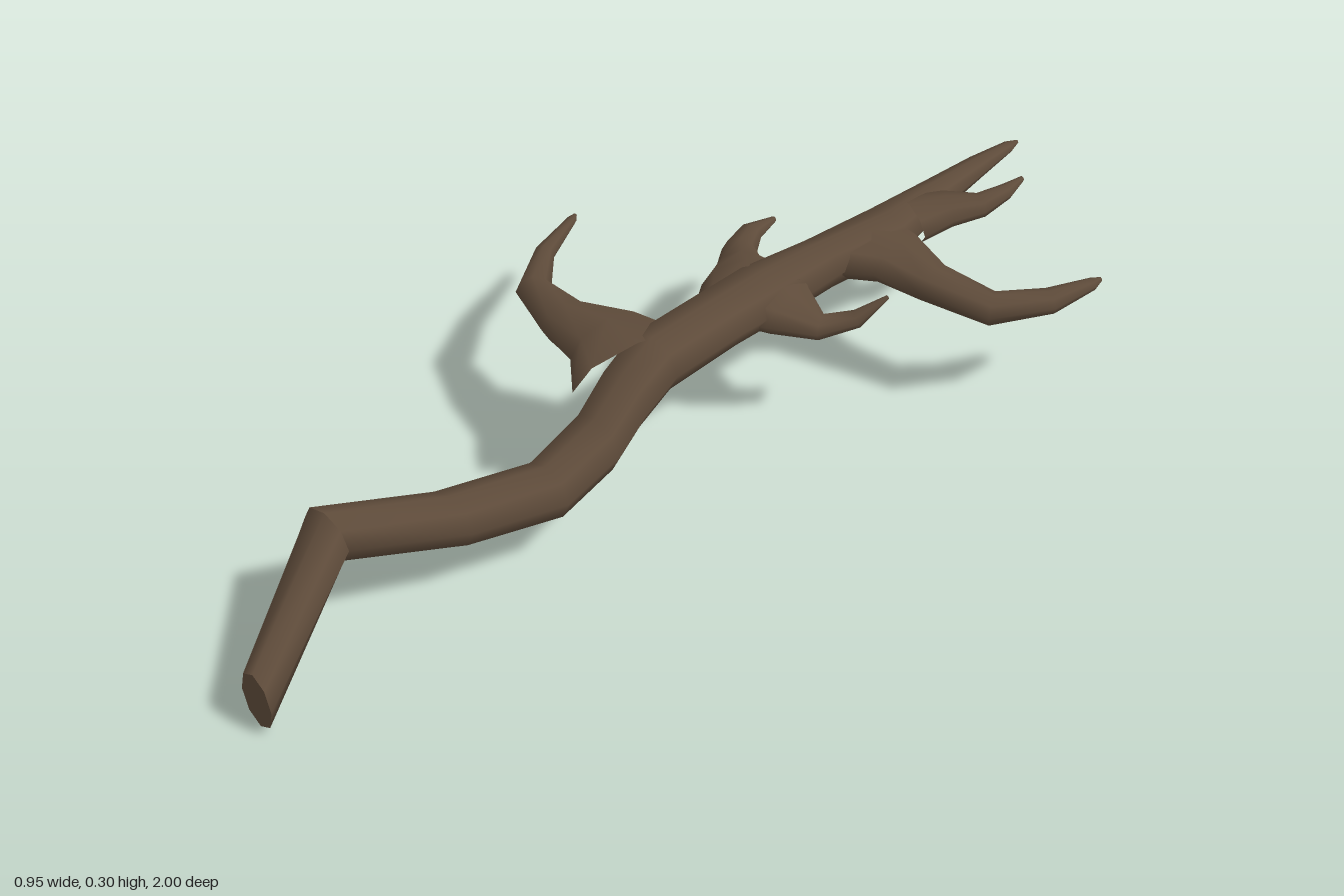
import * as THREE from 'three';

const SIDES = 8;
const bark = new THREE.MeshStandardMaterial({ color: 0x5e4b3a, roughness: 0.9 });

// Lofts elliptical rings along [x, y, z, sideRadius, upRadius] stations.
// With a fixed direction every ring stays perpendicular to it.
function limb(name, stations, { fixed = null, capStart = false, capEnd = true } = {}) {
  const pos = [], index = [];
  const centres = stations.map(s => new THREE.Vector3(s[0], s[1], s[2]));
  const last = stations.length - 1;

  stations.forEach(([, , , rs, ru], i) => {
    const t = fixed ? fixed.clone() : centres[Math.min(i + 1, last)].clone()
      .sub(centres[Math.max(i - 1, 0)]).normalize();
    const side = t.clone().cross(new THREE.Vector3(0, 1, 0)).normalize();
    const up = side.clone().cross(t);
    for (let j = 0; j < SIDES; j++) {
      const a = (j / SIDES) * Math.PI * 2;
      const p = centres[i].clone()
        .addScaledVector(side, Math.cos(a) * rs)
        .addScaledVector(up, Math.sin(a) * ru);
      pos.push(p.x, p.y, p.z);
    }
  });

  for (let i = 0; i < last; i++) {
    for (let j = 0; j < SIDES; j++) {
      const k = (j + 1) % SIDES;
      const a = i * SIDES + j, b = i * SIDES + k;
      index.push(a, a + SIDES, b, b, a + SIDES, b + SIDES);
    }
  }

  // Flat cut end with its own vertices, so its rim stays sharp
  if (capStart) {
    const first = pos.length / 3;
    pos.push(...pos.slice(0, SIDES * 3), ...centres[0].toArray());
    for (let j = 0; j < SIDES; j++) index.push(first + SIDES, first + j, first + (j + 1) % SIDES);
  }
  // Tip shares its ring, so it looks rounded
  if (capEnd) {
    const tip = pos.length / 3;
    pos.push(...centres[last].toArray());
    for (let j = 0; j < SIDES; j++) {
      index.push(tip, last * SIDES + (j + 1) % SIDES, last * SIDES + j);
    }
  }

  const geo = new THREE.BufferGeometry();
  geo.setAttribute('position', new THREE.Float32BufferAttribute(pos, 3));
  geo.setIndex(index);
  geo.computeVertexNormals();
  const mesh = new THREE.Mesh(geo, bark);
  mesh.name = name;
  return mesh;
}

export function createModel() {
  const group = new THREE.Group();
  group.name = 'branch';
  const back = new THREE.Vector3(0, 0, -1);
  const elbow = [-0.02, 0.182, 0.755, 0.06, 0.044];

  // Cut stub, meeting the main stem at a sharp elbow
  group.add(limb('cutStub', [[0.1, 0.056, 0.995, 0.04, 0.056], elbow],
    { fixed: back, capStart: true, capEnd: false }));

  // Main stem, tapering to a point at the back
  group.add(limb('mainStem', [
    elbow,
    [0.058, 0.147, 0.56, 0.058, 0.048],
    [0.107, 0.14, 0.39, 0.057, 0.051],
    [0.102, 0.175, 0.27, 0.061, 0.051],
    [0.085, 0.218, 0.19, 0.064, 0.051],
    [0.068, 0.246, 0.1, 0.066, 0.052],
    [0.056, 0.245, -0.08, 0.066, 0.05],
    [0.05, 0.242, -0.2, 0.07, 0.05],
    [0.056, 0.241, -0.36, 0.054, 0.049],
    [0.07, 0.243, -0.54, 0.062, 0.043],
    [0.05, 0.242, -0.72, 0.037, 0.034],
    [0.042, 0.247, -0.86, 0.026, 0.022],
    [0.039, 0.25, -0.97, 0.014, 0.011],
    [0.039, 0.25, -1.0, 0.004, 0.004],
  ], { fixed: back }));

  // Side twigs, flared where they leave the stem
  const twigs = {
    longRightTwig: [
      [0.06, 0.245, 0.125, 0.14, 0.05],
      [-0.035, 0.246, 0.11, 0.09, 0.046],
      [-0.14, 0.242, 0.12, 0.052, 0.038],
      [-0.27, 0.231, 0.083, 0.034, 0.028],
      [-0.375, 0.21, -0.035, 0.021, 0.02],
      [-0.46, 0.188, -0.185, 0.01, 0.009],
      [-0.472, 0.185, -0.205, 0.004, 0.005],
    ],
    shortRightTwig: [
      [0.06, 0.24, -0.18, 0.12, 0.048],
      [-0.01, 0.232, -0.225, 0.085, 0.044],
      [-0.06, 0.218, -0.265, 0.05, 0.038],
      [-0.122, 0.204, -0.325, 0.035, 0.027],
      [-0.158, 0.2, -0.395, 0.025, 0.019],
      [-0.159, 0.202, -0.465, 0.006, 0.006],
    ],
    shortLeftTwig: [
      [0.05, 0.241, -0.21, 0.12, 0.048],
      [0.115, 0.232, -0.21, 0.075, 0.038],
      [0.18, 0.217, -0.228, 0.03, 0.022],
      [0.23, 0.24, -0.27, 0.02, 0.016],
      [0.264, 0.284, -0.313, 0.004, 0.004],
    ],
    longLeftTwig: [
      [0.06, 0.241, -0.465, 0.12, 0.044],
      [0.14, 0.234, -0.49, 0.08, 0.04],
      [0.235, 0.223, -0.485, 0.048, 0.034],
      [0.36, 0.213, -0.508, 0.039, 0.03],
      [0.428, 0.222, -0.595, 0.029, 0.023],
      [0.462, 0.237, -0.68, 0.012, 0.013],
      [0.466, 0.24, -0.7, 0.004, 0.005],
    ],
    endTwig: [
      [0.08, 0.247, -0.6, 0.07, 0.036],
      [0.115, 0.256, -0.675, 0.05, 0.03],
      [0.165, 0.269, -0.715, 0.03, 0.022],
      [0.178, 0.28, -0.775, 0.017, 0.016],
      [0.178, 0.288, -0.828, 0.005, 0.006],
    ],
  };
  for (const [name, stations] of Object.entries(twigs)) group.add(limb(name, stations));

  return group;
}
